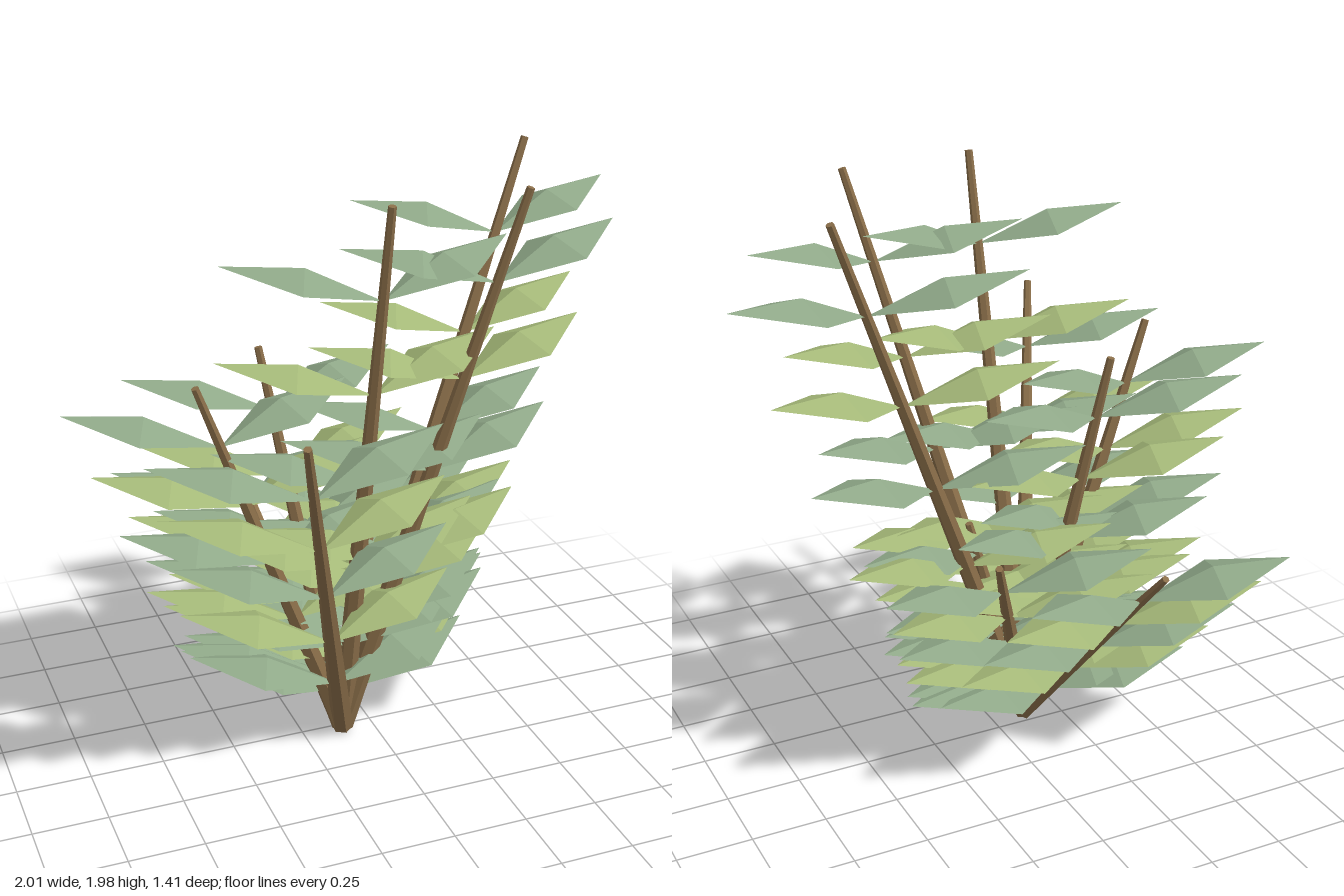
import * as THREE from 'three';

const flat = (g) => {
  const out = g.toNonIndexed();
  out.computeVertexNormals();
  return out;
};

export function createModel() {
  const plant = new THREE.Group();
  plant.name = 'shrub';

  const bark = new THREE.MeshStandardMaterial({ color: 0x8b6f4a });
  bark.name = 'brown bark';
  const sage = new THREE.MeshStandardMaterial({ color: 0x8fa888 });
  sage.name = 'sage leaf';
  const lime = new THREE.MeshStandardMaterial({ color: 0xa4b878 });
  lime.name = 'light green leaf';

  // Leaf: a shallow four-sided pyramid, long along x, flat underneath
  const leafGeo = flat(new THREE.ConeGeometry(1, 0.05, 4).translate(0, 0.025, 0).scale(0.252, 1, 0.136));

  // Each leaf rises outward from its stem and sweeps back a little
  function addLeaf(parent, node, side, material) {
    const reach = new THREE.Vector3(0.468 * side, 0.12, -0.14);
    const x = reach.clone().normalize();
    const across = new THREE.Vector3(-0.07 * side, -0.005, -0.263);
    const y = across.cross(x).normalize();
    if (y.y < 0) y.negate();
    const z = x.clone().cross(y).normalize();
    const leaf = new THREE.Mesh(leafGeo, material);
    leaf.name = side > 0 ? 'leftLeaf' : 'rightLeaf';
    leaf.quaternion.setFromRotationMatrix(new THREE.Matrix4().makeBasis(x, y, z));
    leaf.position.copy(node).addScaledVector(reach, 0.5);
    parent.add(leaf);
  }

  // Nine stems fan out by the golden angle, in three heights, spreading less each time
  const base = new THREE.Vector3(-0.115, 0.022, 0.038);
  const heights = [1.97, 1.385, 0.8];
  const up = new THREE.Vector3(0, 1, 0);
  for (let i = 0; i < 9; i++) {
    const angle = THREE.MathUtils.degToRad(-20 + 137.5 * i);
    const spread = 0.815 - 0.0757 * i;
    const tip = new THREE.Vector3(
      base.x + Math.cos(angle) * spread, heights[i % 3], base.z + Math.sin(angle) * spread);
    const dir = tip.clone().sub(base);

    const branch = new THREE.Group();
    branch.name = 'branch' + (i + 1);
    const stem = new THREE.Mesh(flat(new THREE.CylinderGeometry(0.013, 0.038, dir.length(), 6)), bark);
    stem.name = 'stem';
    stem.position.copy(base).addScaledVector(dir, 0.5);
    stem.quaternion.setFromUnitVectors(up, dir.clone().normalize());
    branch.add(stem);

    // Five pairs of leaves per stem, in alternating greens
    for (let k = 0; k < 5; k++) {
      const node = base.clone().addScaledVector(dir, 0.18 + 0.166 * k);
      for (const side of [1, -1]) addLeaf(branch, node, side, k % 2 ? lime : sage);
    }
    plant.add(branch);
  }
  return plant;
}
